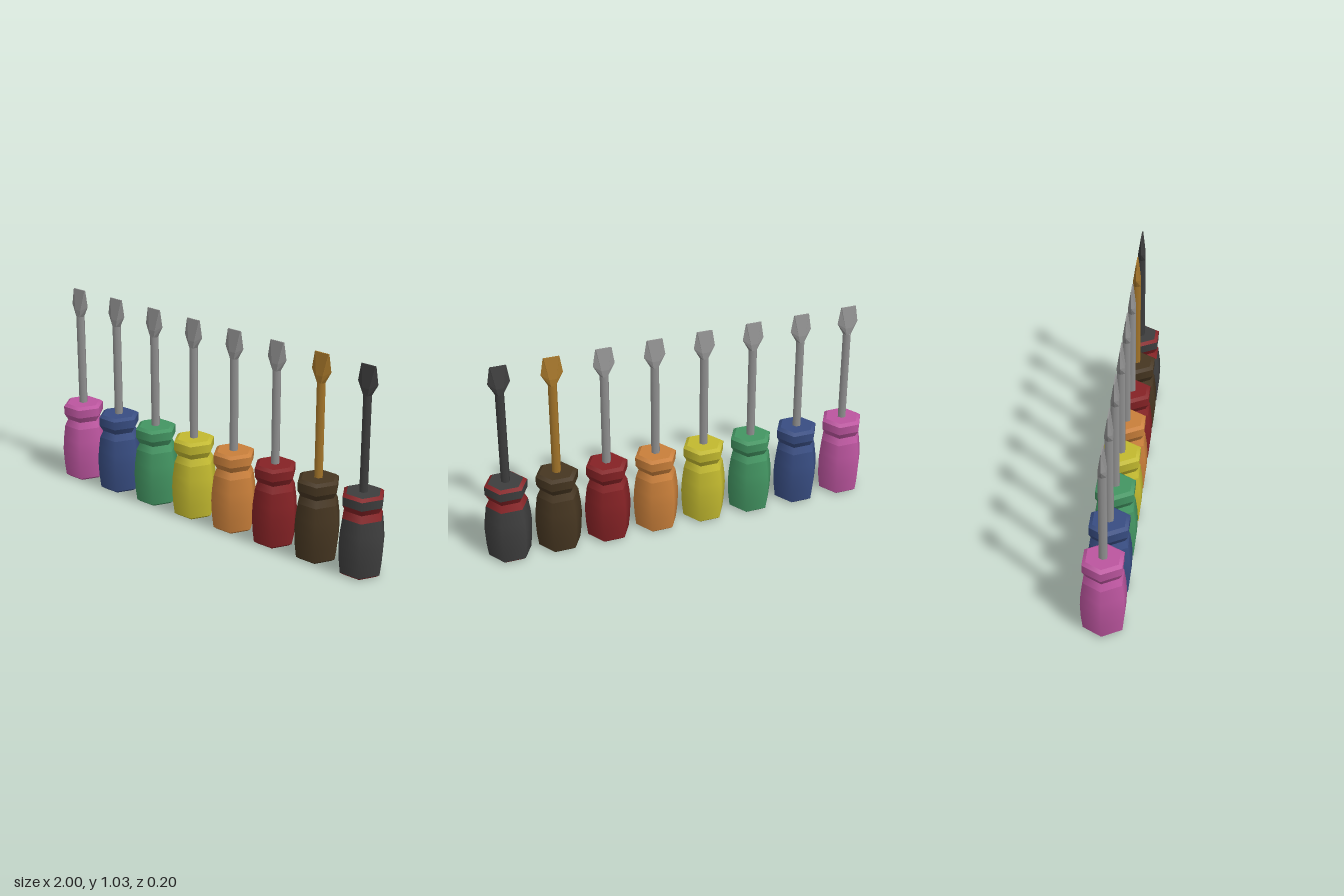
import * as THREE from 'three';

const mat = (name, color) => new THREE.MeshStandardMaterial({ name, color });

// Six-sided turned section from [radius, y] points, bottom to top, corners on the x axis
function hexSection(name, points, material) {
  const profile = points.map(([r, y]) => new THREE.Vector2(r, y));
  const mesh = new THREE.Mesh(new THREE.LatheGeometry(profile, 6, Math.PI / 2), material);
  mesh.name = name;
  return mesh;
}

// Flat blade: hexagonal rings that flare sideways and thin to a straight tip
function bladeGeometry() {
  // side half width, side height, face half width, face half depth, face height
  const rings = [
    [0.022, 0.885, 0.011, 0.019, 0.885],
    [0.054, 0.942, 0.018, 0.0185, 0.92],
    [0.04, 1.027, 0.037, 0.003, 1.027],
  ].map(([w, ys, a, d, yf]) => [
    [w, ys, 0], [a, yf, d], [-a, yf, d], [-w, ys, 0], [-a, yf, -d], [a, yf, -d],
  ]);
  const pos = [];
  for (let k = 0; k < rings.length - 1; k++) {
    for (let i = 0; i < 6; i++) {
      const j = (i + 1) % 6;
      const a = rings[k][i], b = rings[k][j], c = rings[k + 1][j], d = rings[k + 1][i];
      // the diagonal starts from the face corner so both halves mirror
      if (i === 0 || i === 3) pos.push(...a, ...d, ...b, ...b, ...d, ...c);
      else pos.push(...a, ...c, ...b, ...a, ...d, ...c);
    }
  }
  // ring order runs clockwise as seen from above, so reverse each triangle outward
  for (let t = 0; t < pos.length; t += 9) {
    for (let n = 0; n < 3; n++) {
      [pos[t + 3 + n], pos[t + 6 + n]] = [pos[t + 6 + n], pos[t + 3 + n]];
    }
  }
  // tip face
  const tip = rings[2];
  for (let i = 1; i < 5; i++) pos.push(...tip[0], ...tip[i + 1], ...tip[i]);
  const top = pos.length - 36;
  for (let t = top; t < pos.length; t += 9) {
    for (let n = 0; n < 3; n++) {
      [pos[t + 3 + n], pos[t + 6 + n]] = [pos[t + 6 + n], pos[t + 3 + n]];
    }
  }
  const geo = new THREE.BufferGeometry();
  geo.setAttribute('position', new THREE.Float32BufferAttribute(pos, 3));
  // make every face point away from the blade's axis
  orientOutward(geo, new THREE.Vector3(0, 0.94, 0));
  geo.computeVertexNormals();
  return geo;
}

function orientOutward(geo, centre) {
  const p = geo.attributes.position;
  const [a, b, c] = [0, 1, 2].map(() => new THREE.Vector3());
  for (let i = 0; i < p.count; i += 3) {
    a.fromBufferAttribute(p, i);
    b.fromBufferAttribute(p, i + 1);
    c.fromBufferAttribute(p, i + 2);
    const normal = b.clone().sub(a).cross(c.clone().sub(a));
    const mid = a.clone().add(b).add(c).divideScalar(3).sub(centre);
    if (normal.dot(mid) < 0) {
      p.setXYZ(i + 1, c.x, c.y, c.z);
      p.setXYZ(i + 2, b.x, b.y, b.z);
    }
  }
}

function screwdriver(main, trim, metal) {
  const g = new THREE.Group();
  // handle, bottom to top
  g.add(
    hexSection('handleBase', [[0, 0], [0.088, 0]], main),
    hexSection('baseBevel', [[0.088, 0], [0.106, 0.013]], trim),
    hexSection('handleGrip', [[0.106, 0.013], [0.114, 0.08], [0.118, 0.16], [0.114, 0.22], [0.104, 0.292]], main),
    hexSection('neckLower', [[0.104, 0.292], [0.087, 0.326]], trim),
    hexSection('neckUpper', [[0.087, 0.326], [0.105, 0.357]], trim),
    hexSection('handleCollar', [[0.105, 0.357], [0.106, 0.4]], main),
    hexSection('collarBevel', [[0.106, 0.4], [0.087, 0.413]], trim),
    hexSection('handleTop', [[0.087, 0.413], [0, 0.413]], main),
  );
  // shaft and blade
  g.add(hexSection('shaft', [[0.022, 0.41], [0.022, 0.885]], metal));
  const blade = new THREE.Mesh(bladeGeometry(), metal);
  blade.name = 'blade';
  g.add(blade);
  return g;
}

export function createModel() {
  const model = new THREE.Group();
  model.name = 'screwdriverSet';
  const steel = mat('steel', 0x929292);
  const brass = mat('brass', 0xa5762a);
  const charcoal = mat('charcoal', 0x3e3e3e);
  const red = mat('red', 0x852225);
  const plain = [
    mat('pink', 0xbc559f), mat('blue', 0x384d82), mat('green', 0x439562),
    mat('yellow', 0xc2b92f), mat('orange', 0xc97f3a), red,
  ];
  const brown = mat('brown', 0x463621);
  // handle, trim and metal of each tool from right to left
  const sets = [
    ...plain.map((m) => [m, m, steel]),
    [brown, brown, brass],
    [charcoal, red, charcoal],
  ];
  sets.forEach((colours, i) => {
    const tool = screwdriver(...colours);
    tool.name = `${colours[0].name}Screwdriver`;
    tool.position.x = -0.882 + i * 0.252;
    model.add(tool);
  });
  return model;
}
